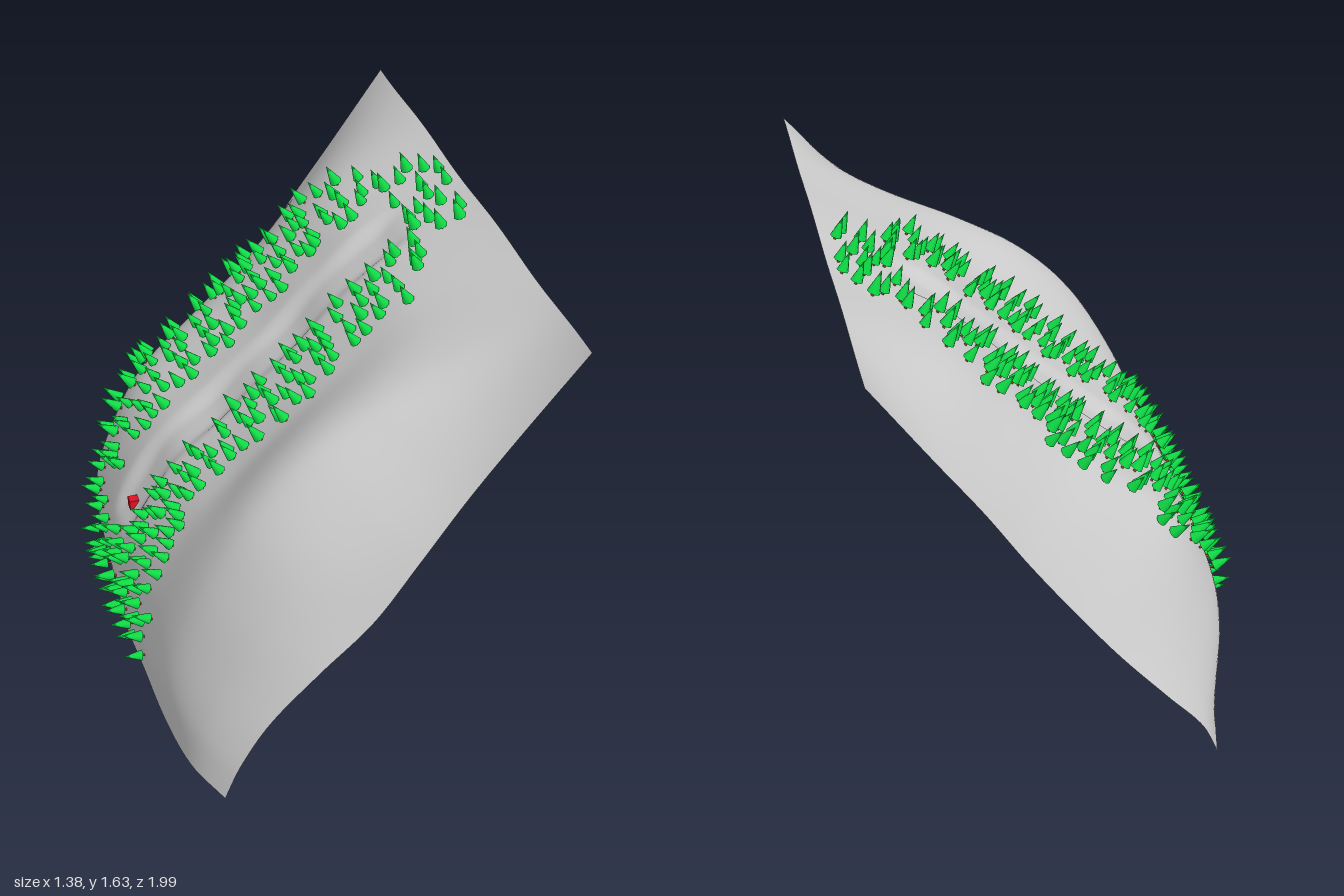
import * as THREE from 'three';

// Smooth curve y(x) through a few knots
function spline(xs, ys, x) {
  const n = xs.length;
  let i = 0;
  while (i < n - 2 && x > xs[i + 1]) i++;
  const slope = (k) => {
    const a = Math.max(k - 1, 0), b = Math.min(k + 1, n - 1);
    return (ys[b] - ys[a]) / (xs[b] - xs[a]);
  };
  const h = xs[i + 1] - xs[i], t = (x - xs[i]) / h, t2 = t * t, t3 = t2 * t;
  return (2 * t3 - 3 * t2 + 1) * ys[i] + (t3 - 2 * t2 + t) * h * slope(i)
    + (3 * t2 - 2 * t3) * ys[i + 1] + (t3 - t2) * h * slope(i + 1);
}

// The slope is a straight chord from foot to crest that bulges outwards,
// with a shallow valley between two humps.
// Each row gives the bulge along the chord (s) at one z.
const LENGTH = 1.94;
const S = [0, 0.15, 0.35, 0.6, 0.85, 1.1, 1.35, 1.6, LENGTH];
const Z = [-0.97, -0.6, -0.3, 0, 0.3, 0.6, 0.8, 0.95];
const BULGE = [
  [-0.03, 0, -0.01, -0.03, -0.035, -0.03, -0.015, -0.01, 0],
  [0.045, 0.19, 0.265, 0.31, 0.27, 0.215, 0.18, 0.14, 0],
  [0.06, 0.235, 0.315, 0.335, 0.285, 0.235, 0.205, 0.16, 0],
  [0.11, 0.245, 0.33, 0.345, 0.295, 0.25, 0.215, 0.165, 0],
  [0.12, 0.245, 0.33, 0.36, 0.325, 0.28, 0.225, 0.16, 0],
  [0.125, 0.24, 0.325, 0.39, 0.415, 0.38, 0.285, 0.16, 0],
  [0.09, 0.165, 0.22, 0.26, 0.265, 0.22, 0.15, 0.08, 0],
  [0.02, 0.06, 0.085, 0.075, 0.04, 0.035, 0.025, 0.015, 0],
];
const FOOT = [0.01, -0.04, -0.07, -0.065, -0.045, -0.025, -0.015, 0.01];
const FRONT_EDGE = [0, 0.005, 0.015, 0.035, 0.04, 0.025, 0, -0.01, -0.015];
const BACK_EDGE = [0, -0.015, -0.03, -0.02, -0.01, -0.01, -0.01, -0.01, -0.01];

const smooth = THREE.MathUtils.smoothstep;

// Sunken run down the middle, with gentle steps on its bed
function runDepth(s, z) {
  const across = 1 - smooth(Math.abs(z + 0.1), 0.045, 0.115);
  const along = smooth(s, 0.27, 0.36) * (1 - smooth(s, 1.62, 1.78));
  return across * along * (0.024 + 0.007 * Math.sin(s * 17));
}

function surfacePoint(s, z) {
  const b = spline(Z, BULGE.map((row) => spline(S, row, s)), z) - runDepth(s, z);
  const t = s / LENGTH;
  const along = s + spline(Z, FOOT, z) * (1 - t) ** 4;
  const edge = smooth(z, 0.4, 0.95) * spline(S, FRONT_EDGE, s)
    + smooth(-z, 0.4, 0.97) * spline(S, BACK_EDGE, s);
  return new THREE.Vector3(
    -0.46 + 0.593 * along - 0.805 * b,
    0.015 + 0.805 * along + 0.593 * b + 0.005 * t ** 4 * Math.sin(z * 9),
    z + edge,
  );
}

function surfaceNormal(s, z) {
  const e = 0.02;
  const ds = surfacePoint(s + e, z).sub(surfacePoint(s - e, z));
  const dz = surfacePoint(s, z + e).sub(surfacePoint(s, z - e));
  return dz.cross(ds).normalize();
}

function hillsideGeometry() {
  const nS = 84, nZ = 110, pos = [], index = [];
  for (let i = 0; i <= nS; i++) {
    for (let j = 0; j <= nZ; j++) {
      const p = surfacePoint((LENGTH * i) / nS, -0.97 + (1.92 * j) / nZ);
      pos.push(p.x, p.y, p.z);
      if (i < nS && j < nZ) {
        const a = i * (nZ + 1) + j, c = a + nZ + 1;
        index.push(a, a + 1, c, a + 1, c + 1, c);
      }
    }
  }
  const g = new THREE.BufferGeometry();
  g.setAttribute('position', new THREE.Float32BufferAttribute(pos, 3));
  g.setIndex(index);
  g.computeVertexNormals();
  return g;
}

// Seeded jitter in -0.5..0.5
function makeJitter(seed) {
  return () => {
    seed = (seed * 16807) % 2147483647;
    return seed / 2147483647 - 0.5;
  };
}

// Sides of the wooded belt around the run
const BELT_S = [0, 0.3, 0.55, 1.4, 1.65, 1.9];
const BELT_BACK = [-0.22, -0.45, -0.62, -0.6, -0.5, -0.28];
const BELT_FRONT = [0.34, 0.4, 0.31, 0.31, 0.25, 0.05];

export function createModel() {
  const model = new THREE.Group();

  const hillside = new THREE.Mesh(
    hillsideGeometry(),
    new THREE.MeshStandardMaterial({ color: 0xcccccc, side: THREE.DoubleSide }),
  );
  hillside.name = 'hillside';
  model.add(hillside);

  // Trees lean out from the slope, trunks rooted just through it
  const crownGeo = new THREE.ConeGeometry(0.022, 0.075, 8).translate(0, 0.05, 0);
  const trunkGeo = new THREE.CylinderGeometry(0.005, 0.005, 0.022, 6).translate(0, 0.006, 0);
  const crownMat = new THREE.MeshStandardMaterial({ color: 0x0fdc46 });
  const trunkMat = new THREE.MeshStandardMaterial({ color: 0x8b4a20 });
  const forest = new THREE.Group();
  forest.name = 'forest';
  const jitter = makeJitter(4711);
  const up = new THREE.Vector3(0, 1, 0);
  const step = 0.069;
  for (let s0 = 0.08; s0 < 1.88; s0 += step) {
    for (let z0 = -0.64; z0 < 0.42; z0 += step) {
      const s = s0 + jitter() * 0.055, z = z0 + jitter() * 0.055;
      const inBelt = z > spline(BELT_S, BELT_BACK, s) && z < spline(BELT_S, BELT_FRONT, s);
      const onRun = s > 0.29 && s < 1.71 && z > -0.265 && z < 0.03;
      if (!inBelt || onRun) continue;
      const tree = new THREE.Group();
      tree.name = 'tree';
      const crown = new THREE.Mesh(crownGeo, crownMat);
      crown.name = 'crown';
      const trunk = new THREE.Mesh(trunkGeo, trunkMat);
      trunk.name = 'trunk';
      tree.add(crown, trunk);
      tree.position.copy(surfacePoint(s, z));
      const lean = surfaceNormal(s, z).addScaledVector(up, 0.2).normalize();
      tree.quaternion.setFromUnitVectors(up, lean);
      tree.scale.setScalar(0.95 + jitter() * 0.2);
      forest.add(tree);
    }
  }
  model.add(forest);

  // Small red hut at the foot of the run
  const hut = new THREE.Mesh(
    new THREE.BoxGeometry(0.034, 0.036, 0.034),
    new THREE.MeshStandardMaterial({ color: 0xdd1122 }),
  );
  hut.name = 'hut';
  hut.position.set(-0.508, 0.48, -0.1);
  model.add(hut);

  return model;
}
